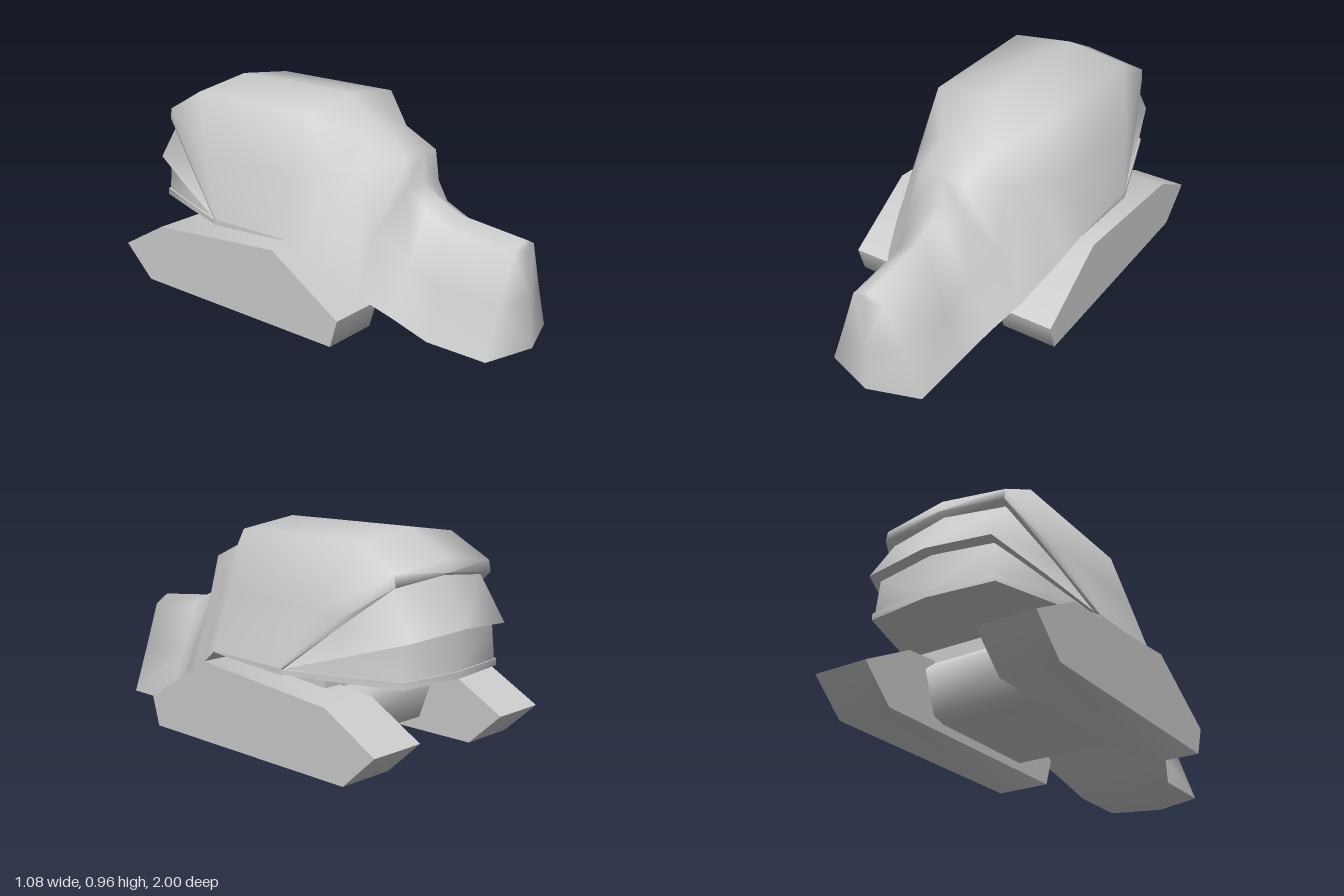
import * as THREE from 'three';
import { toCreasedNormals } from 'three/addons/utils/BufferGeometryUtils.js';

const material = new THREE.MeshStandardMaterial({ color: 0xcccccc, side: THREE.DoubleSide });

// Skin mirrored half sections; each runs from the centre line out to +x
function loft(name, rows, crease) {
  const full = rows.map(r => [
    ...r.slice(1).reverse().map(([x, y, z]) => [-x, y, z]),
    ...r,
  ].map(p => new THREE.Vector3(...p)));
  const pos = [];
  const tri = (a, b, c) => {
    const n = b.clone().sub(a).cross(c.clone().sub(a));
    if (n.length() > 1e-6) for (const p of [a, b, c]) pos.push(p.x, p.y, p.z);
  };
  for (let j = 0; j < full.length - 1; j++) {
    const a = full[j], b = full[j + 1];
    for (let i = 0; i < a.length - 1; i++) {
      // mirror the diagonals so both halves match
      if (i < (a.length - 1) / 2) {
        tri(a[i], a[i + 1], b[i + 1]);
        tri(a[i], b[i + 1], b[i]);
      } else {
        tri(a[i], a[i + 1], b[i]);
        tri(a[i + 1], b[i + 1], b[i]);
      }
    }
  }
  const geo = new THREE.BufferGeometry();
  geo.setAttribute('position', new THREE.Float32BufferAttribute(pos, 3));
  const mesh = new THREE.Mesh(toCreasedNormals(geo, crease), material);
  mesh.name = name;
  return mesh;
}

// Side profile of (z, y) points extruded across x, smooth around the profile
function slab(name, profile, width, x) {
  const shape = new THREE.Shape(profile.map(([z, y]) => new THREE.Vector2(-z, y)));
  const geo = new THREE.ExtrudeGeometry(shape, { depth: width, bevelEnabled: false });
  geo.rotateY(Math.PI / 2).translate(x - width / 2, 0, 0);
  const mesh = new THREE.Mesh(toCreasedNormals(geo, 1.3), material);
  mesh.name = name;
  return mesh;
}

export function createModel() {
  const model = new THREE.Group();
  model.name = 'trackedVehicle';

  // Nose and neck sections, front to back
  const nose = [
    [[0, 0.48, 0.95], [0, 0.44, 0.954], [0, 0.22, 0.977], [0, 0, 1]],
    [[0, 0.48, 0.95], [0.08, 0.44, 0.935], [0.16, 0.22, 0.925], [0.24, 0, 0.92]],
    [[0, 0.515, 0.62], [0.08, 0.47, 0.62], [0.16, 0.235, 0.62], [0.24, 0, 0.62]],
    [[0, 0.57, 0.49], [0.08, 0.53, 0.49], [0.19, 0.31, 0.49], [0.3, 0.09, 0.48]],
    [[0, 0.625, 0.42], [0.11, 0.62, 0.41], [0.25, 0.43, 0.34], [0.37, 0.18, 0.34]],
  ];
  // Hood and domed shell, ending in a rolled chevron lip
  const shell = [
    [[0, 0.765, 0.41], [0.11, 0.745, 0.4], [0.24, 0.69, 0.26], [0.42, 0.27, 0.2]],
    [[0, 0.82, 0.24], [0.13, 0.82, 0.22], [0.3, 0.69, 0.13], [0.45, 0.33, 0.1]],
    [[0, 0.96, 0], [0.3, 0.92, 0], [0.39, 0.66, 0], [0.48, 0.395, 0]],
    [[0, 0.96, -0.68], [0.3, 0.92, -0.68], [0.4, 0.64, -0.55], [0.48, 0.39, -0.41]],
    [[0, 0.845, -0.895], [0.31, 0.81, -0.875], [0.4, 0.61, -0.66], [0.48, 0.385, -0.42]],
    [[0, 0.79, -0.91], [0.31, 0.76, -0.885], [0.395, 0.58, -0.66], [0.475, 0.38, -0.42]],
    [[0, 0.77, -0.86], [0.29, 0.74, -0.83], [0.38, 0.57, -0.62], [0.46, 0.38, -0.4]],
  ];
  // One smooth skin, each section closed across the underside
  const closed = [...nose, ...shell].map(r => [...r, [0, r[3][1], r[3][2]]]);
  model.add(loft('noseAndShell', closed, 1.45));

  // Overlapping rear plate
  model.add(loft('rearPlate', [
    [[0, 0.79, -0.87], [0.29, 0.76, -0.84], [0.38, 0.58, -0.63], [0.465, 0.39, -0.41]],
    [[0, 0.57, -0.995], [0.31, 0.55, -0.965], [0.395, 0.47, -0.7], [0.475, 0.385, -0.42]],
    [[0, 0.56, -0.93], [0.28, 0.54, -0.9], [0.375, 0.46, -0.67], [0.46, 0.38, -0.4]],
  ], 1.2));

  // Lower skirt with a rim, and the floor running forward
  model.add(loft('rearSkirt', [
    [[0, 0.57, -0.945], [0.29, 0.55, -0.915], [0.38, 0.465, -0.68], [0.465, 0.385, -0.41]],
    [[0, 0.39, -0.96], [0.3, 0.39, -0.925], [0.39, 0.387, -0.67], [0.475, 0.385, -0.42]],
    [[0, 0.39, -0.967], [0.31, 0.39, -0.93], [0.395, 0.387, -0.675], [0.48, 0.385, -0.42]],
    [[0, 0.36, -0.967], [0.31, 0.36, -0.93], [0.395, 0.36, -0.675], [0.48, 0.365, -0.42]],
    [[0, 0.36, -0.42], [0.31, 0.36, -0.42], [0.395, 0.36, -0.42], [0.48, 0.365, -0.42]],
    [[0, 0.39, 0], [0.3, 0.39, 0], [0.39, 0.39, 0], [0.48, 0.39, 0]],
  ], 1.2));

  // Rim along each side, and the two tracks
  const rim = [[0, 0.397], [0, 0.389], [-0.42, 0.36], [-0.42, 0.39]];
  const track = [[0.37, 0.13], [0, 0.36], [-0.73, 0.295], [-0.99, 0.15], [-0.83, 0], [0.33, 0]];
  for (const [side, s] of [['left', 1], ['right', -1]]) {
    model.add(slab(`${side}Rim`, rim, 0.02, s * 0.469));
    model.add(slab(`${side}Track`, track, 0.27, s * 0.405));
  }

  // Belly between the tracks, with a raised mount up to the shell floor
  const belly = [
    [0.3, 0.16], [0, 0.33], [-0.12, 0.34], [-0.56, 0.3], [-0.62, 0.25], [-0.55, 0.06], [-0.48, 0.04], [0.1, 0.04],
  ];
  model.add(slab('belly', belly, 0.55, 0));
  model.add(slab('mount', [[-0.12, 0.32], [-0.12, 0.39], [-0.56, 0.37], [-0.56, 0.28]], 0.72, 0));

  return model;
}
